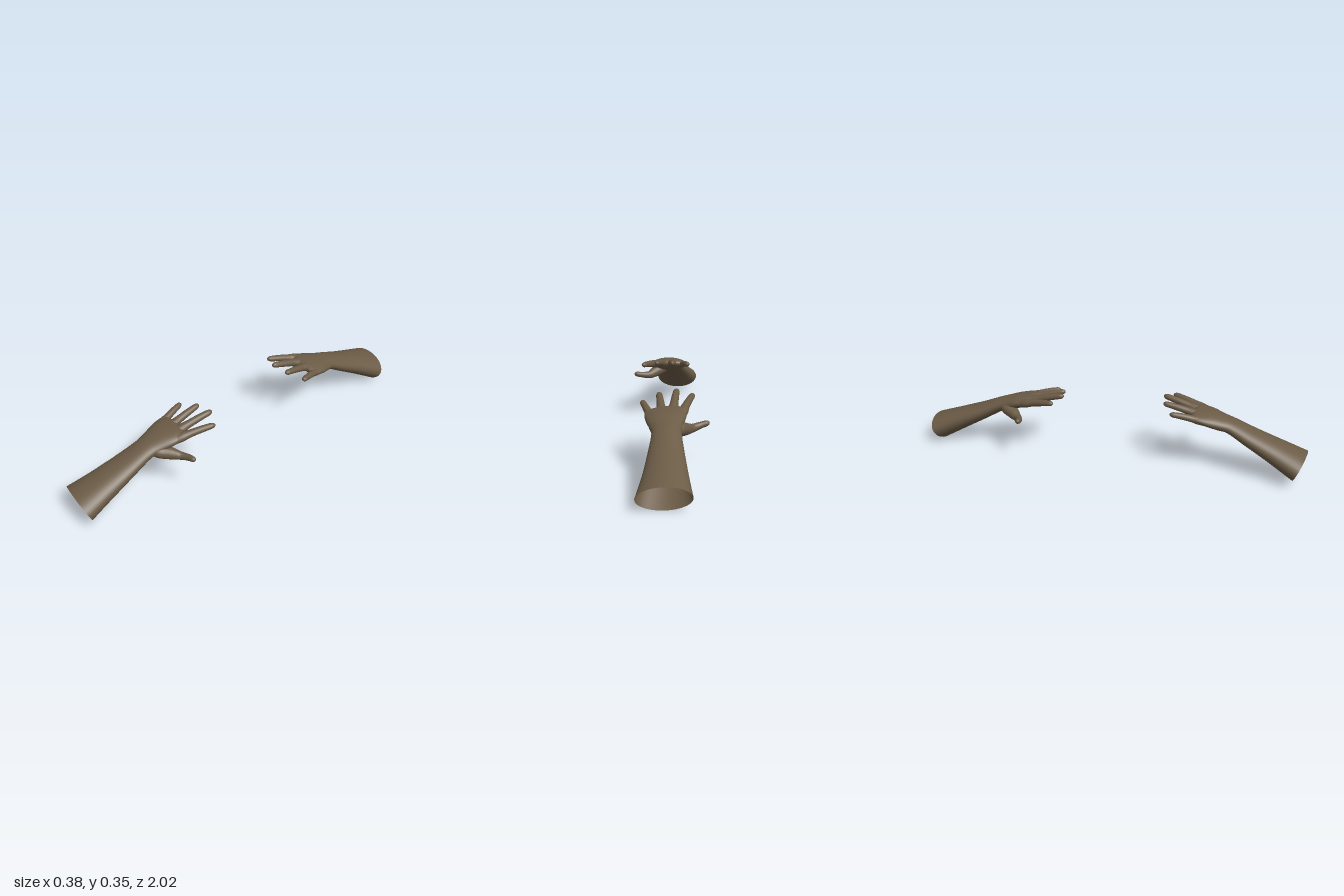
import * as THREE from 'three';

const skin = new THREE.MeshStandardMaterial({ color: 0x6b5b46, side: THREE.DoubleSide });
skin.name = 'brown skin';

const UP = new THREE.Vector3(0, 1, 0);

// Sweeps an ellipse along a spline. Each station is [x, y, z, halfWidth, halfHeight];
// the start stays open and the last `cap` of the spline is rounded off.
function limb(name, stations, { cap, steps = 24, sides = 20 }) {
  const path = new THREE.CatmullRomCurve3(stations.map(s => new THREE.Vector3(s[0], s[1], s[2])));
  const size = new THREE.CatmullRomCurve3(stations.map(s => new THREE.Vector3(s[3], s[4], 0)));
  const rings = [];
  for (let i = 0; i <= steps; i++) rings.push([(1 - cap) * i / steps, 1]);
  for (let i = 1; i <= 8; i++) {
    const a = i / 8 * Math.PI / 2;
    rings.push([1 - cap + cap * Math.sin(a), Math.max(Math.cos(a), 0.002)]);
  }
  const positions = [], index = [];
  rings.forEach(([t, scale], i) => {
    const centre = path.getPoint(t), dir = path.getTangent(t), s = size.getPoint(t);
    const side = dir.clone().cross(UP).normalize();
    const up = side.clone().cross(dir);
    for (let j = 0; j < sides; j++) {
      const a = j / sides * Math.PI * 2;
      const p = centre.clone()
        .addScaledVector(side, Math.cos(a) * s.x * scale)
        .addScaledVector(up, Math.sin(a) * s.y * scale);
      positions.push(p.x, p.y, p.z);
      if (i === rings.length - 1) continue;
      const k = (j + 1) % sides, r0 = i * sides, r1 = r0 + sides;
      index.push(r0 + j, r1 + j, r0 + k, r0 + k, r1 + j, r1 + k);
    }
  });
  const geometry = new THREE.BufferGeometry();
  geometry.setAttribute('position', new THREE.Float32BufferAttribute(positions, 3));
  geometry.setIndex(index);
  geometry.computeVertexNormals();
  const mesh = new THREE.Mesh(geometry, skin);
  mesh.name = name;
  return mesh;
}

// A finger from inside the palm to its tip, flared at the root to form the webbing
function finger(name, root, tip, r) {
  const at = (t, lift, w, h) => [
    ...root.map((v, i) => v + (tip[i] - v) * t + (i === 1 ? lift : 0)), r * w, r * h];
  return limb(name, [
    at(-0.3, -0.004, 1.5, 1.2),
    at(0, 0, 1.6, 1.35),
    at(0.25, 0.002, 1.22, 1.15),
    at(0.55, 0.003, 1.1, 1.05),
    at(0.8, 0.002, 0.98, 0.92),
    at(1, 0, 0.85, 0.8),
  ], { cap: 0.13 });
}

function createHand(name) {
  const hand = new THREE.Group();
  hand.name = name;

  // Open forearm running through the wrist into the palm
  hand.add(limb('forearmAndPalm', [
    [-0.071, 0.083, 0.972, 0.124, 0.071],
    [-0.052, 0.138, 0.85, 0.100, 0.058],
    [-0.035, 0.196, 0.72, 0.081, 0.045],
    [-0.021, 0.247, 0.61, 0.069, 0.036],
    [-0.018, 0.261, 0.56, 0.079, 0.037],
    [-0.014, 0.279, 0.50, 0.096, 0.035],
    [-0.011, 0.293, 0.45, 0.100, 0.027],
    [-0.008, 0.302, 0.412, 0.090, 0.018],
  ], { cap: 0.1, steps: 40, sides: 36 }));

  // Four fingers
  hand.add(finger('littleFinger', [-0.084, 0.286, 0.455], [-0.114, 0.319, 0.310], 0.0155));
  hand.add(finger('ringFinger', [-0.028, 0.296, 0.435], [-0.027, 0.337, 0.264], 0.0165));
  hand.add(finger('middleFinger', [0.026, 0.296, 0.435], [0.062, 0.341, 0.253], 0.0170));
  hand.add(finger('indexFinger', [0.070, 0.289, 0.455], [0.137, 0.320, 0.295], 0.0165));

  // Thumb with its fleshy base
  hand.add(limb('thumb', [
    [0.000, 0.250, 0.600, 0.030, 0.022],
    [0.035, 0.239, 0.560, 0.040, 0.034],
    [0.070, 0.224, 0.522, 0.030, 0.030],
    [0.104, 0.214, 0.492, 0.020, 0.021],
    [0.142, 0.218, 0.476, 0.0165, 0.0165],
    [0.190, 0.226, 0.471, 0.013, 0.013],
  ], { cap: 0.07 }));
  return hand;
}

export function createModel() {
  const model = new THREE.Group();
  model.name = 'pairOfHands';
  model.add(createHand('frontHand'));

  // Second hand reaches back toward the first, turned about its wrist and slightly rolled
  const back = createHand('backHandShape');
  back.position.set(0, -0.26, -0.55);
  const pivot = new THREE.Group();
  pivot.name = 'backHand';
  pivot.rotation.set(0, Math.PI + 0.05, -0.1, 'ZYX');
  pivot.position.set(0, 0.247, -0.558);
  pivot.add(back);
  model.add(pivot);
  return model;
}
